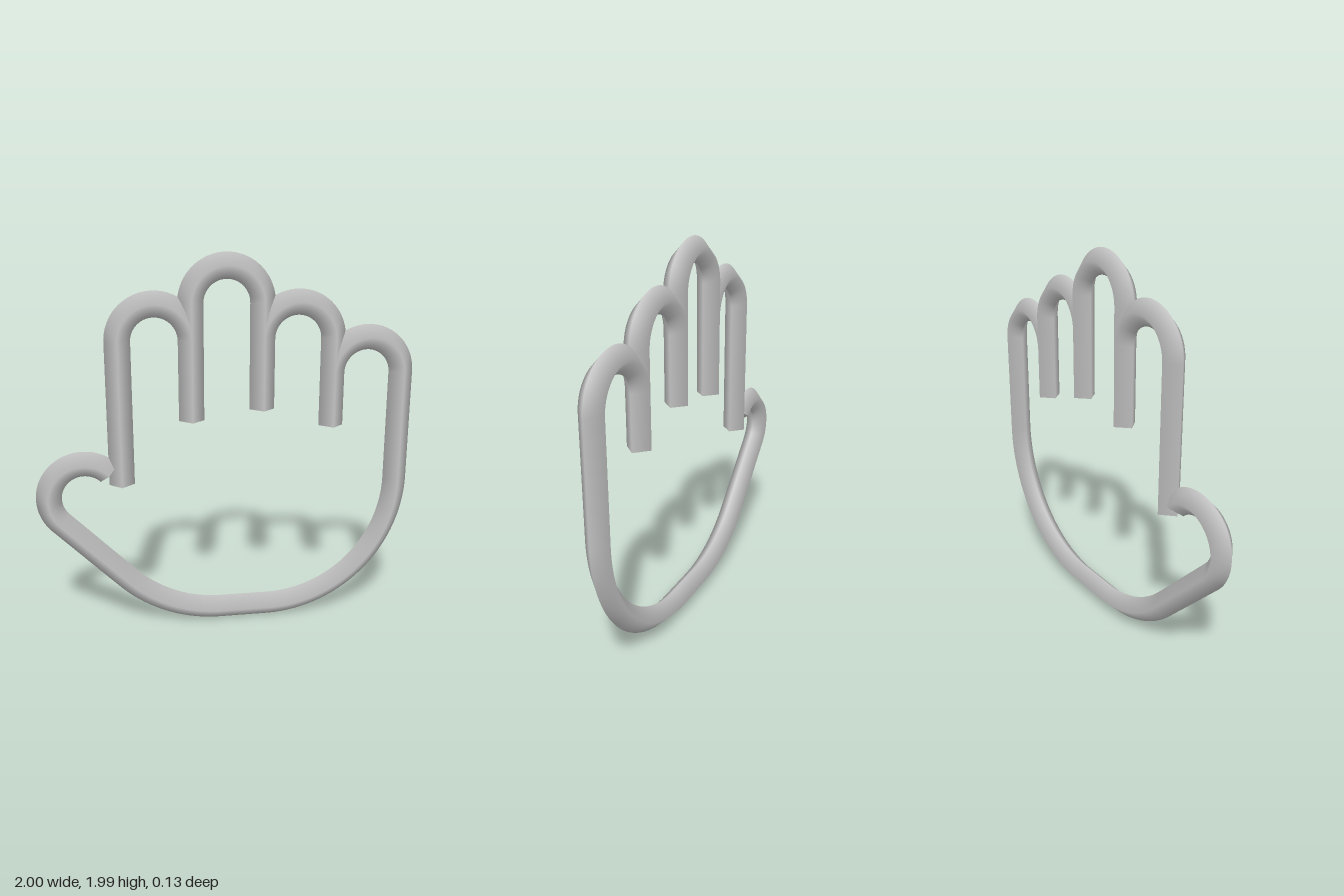
import * as THREE from 'three';

const R = 0.066; // half width of the diamond-section bar
const deg = THREE.MathUtils.degToRad;

// Flat 2D path lifted into the z = 0 plane
class FlatCurve extends THREE.Curve {
  constructor(path) {
    super();
    this.path = path;
  }
  getPoint(t, target = new THREE.Vector3()) {
    const p = this.path.getPoint(t);
    return target.set(p.x, p.y, 0);
  }
}

export function createModel() {
  const model = new THREE.Group();
  model.name = 'handOutline';
  const grey = new THREE.MeshStandardMaterial({ color: 0xc4c4c4 });
  grey.name = 'lightGrey';

  // Four-sided smooth bar along a path, closed with a diamond cap at each end
  function addBar(name, path, segments) {
    const group = new THREE.Group();
    group.name = name;
    const curve = new FlatCurve(path);
    const bar = new THREE.Mesh(new THREE.TubeGeometry(curve, segments, R, 4), grey);
    bar.name = name + 'Bar';
    group.add(bar);
    for (const t of [0, 1]) {
      const out = curve.getTangent(t).multiplyScalar(t ? 1 : -1);
      const depth = new THREE.Vector3(0, 0, 1);
      const side = new THREE.Vector3().crossVectors(depth, out);
      const geometry = new THREE.CircleGeometry(R, 4);
      geometry.applyMatrix4(new THREE.Matrix4().makeBasis(side, depth, out).setPosition(curve.getPoint(t)));
      const cap = new THREE.Mesh(geometry, grey);
      cap.name = name + 'Cap';
      group.add(cap);
    }
    model.add(group);
  }

  // Thumb, palm and little finger in one sweep
  const palm = new THREE.Path();
  palm.moveTo(-0.463, 0.722);
  palm.absarc(-0.75, 0.745, 0.185, deg(45), deg(225), false);
  palm.absarc(-0.039, 0.783, 0.715, deg(225), deg(270), false);
  palm.absarc(0.22, 0.783, 0.715, deg(270), deg(360), false);
  palm.absarc(0.7475, 1.37, 0.1875, 0, Math.PI, false);
  addBar('thumbPalmAndLittleFinger', palm, 360);

  // Arched fingers: left leg foot, arch height and right leg foot
  const fingers = [
    { name: 'indexFinger', x: -0.37, y: 1.555, from: 0.81, to: 1.555 },
    { name: 'middleFinger', x: 0, y: 1.74, from: 1.14, to: 1.19 },
    { name: 'ringFinger', x: 0.3725, y: 1.555, from: 1.555, to: 1.09 },
  ];
  for (const { name, x, y, from, to } of fingers) {
    const r = x > 0 ? 0.1875 : 0.185;
    const path = new THREE.Path();
    if (from < y) path.moveTo(x - r, from).lineTo(x - r, y);
    path.absarc(x, y, r, Math.PI, 0, true);
    if (to < y) path.lineTo(x + r, to);
    addBar(name, path, 120);
  }
  return model;
}
